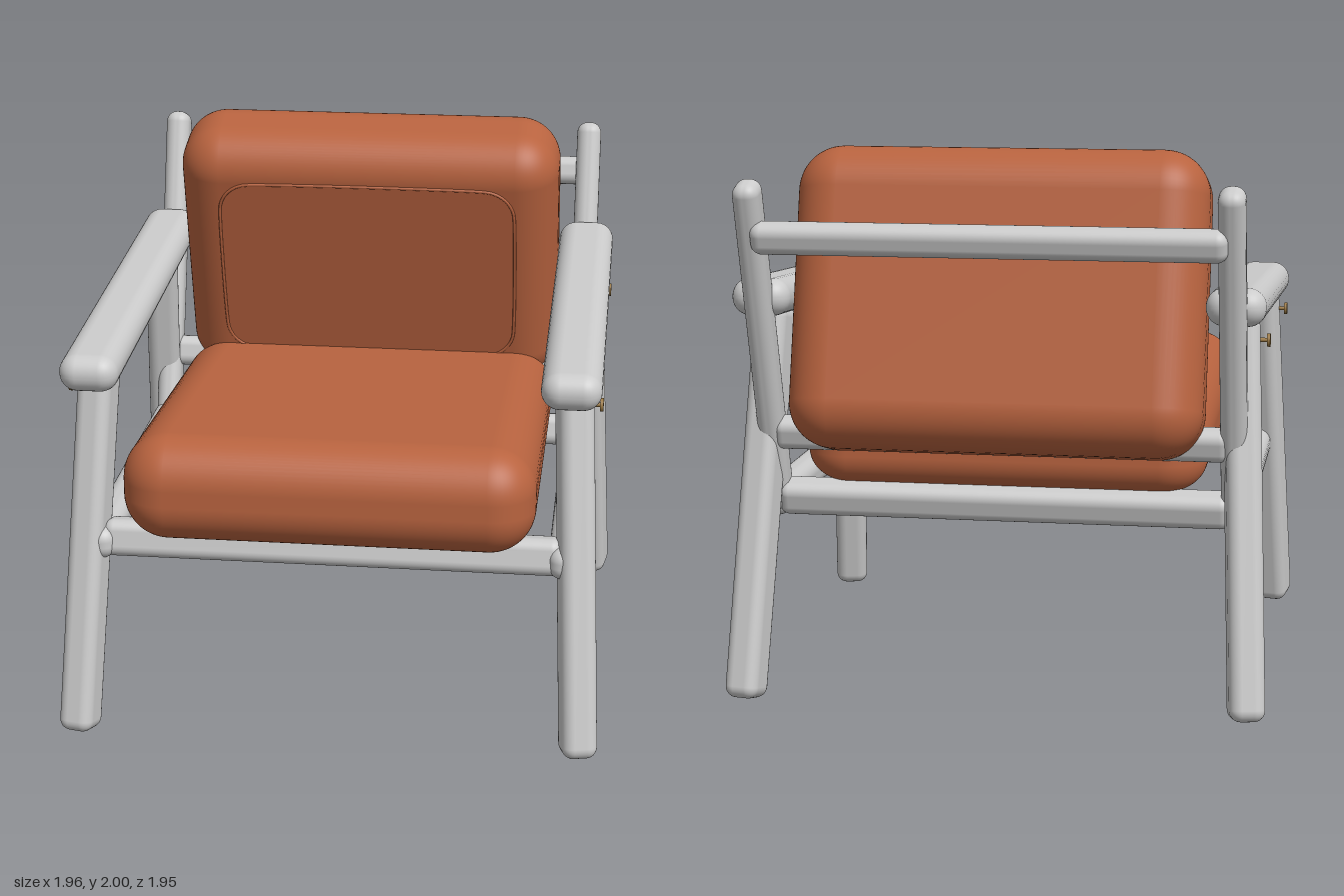
import * as THREE from 'three';
import { RoundedBoxGeometry } from 'three/addons/geometries/RoundedBoxGeometry.js';

const frameMat = new THREE.MeshStandardMaterial({ color: 0xcccccc });
const leather = new THREE.MeshStandardMaterial({ color: 0xb8633f });
const brass = new THREE.MeshStandardMaterial({ color: 0x9c7a45 });

// Rounded bar from a to b: w across its level side, d across the other
function beam(name, a, b, w, d, r) {
  const A = new THREE.Vector3(...a), B = new THREE.Vector3(...b);
  const y = B.clone().sub(A), len = y.length();
  y.normalize();
  const x = new THREE.Vector3(-y.z, 0, y.x).normalize();
  const z = x.clone().cross(y);
  const mesh = new THREE.Mesh(new RoundedBoxGeometry(w, len, d, 4, r), frameMat);
  mesh.quaternion.setFromRotationMatrix(new THREE.Matrix4().makeBasis(x, y, z));
  mesh.position.copy(A.add(B).multiplyScalar(0.5));
  mesh.name = name;
  return mesh;
}

// Rounded rail lying along x, tilted about it
function crossRail(name, y, z, h, d, tilt) {
  const mesh = new THREE.Mesh(new RoundedBoxGeometry(1.66, h, d, 4, 0.04), frameMat);
  mesh.position.set(0, y, z);
  mesh.rotation.x = tilt;
  mesh.name = name;
  return mesh;
}

// Closed outline of a rounded rectangle in the xy plane
function roundedOutline(w, h, r) {
  const points = [];
  for (let corner = 0; corner < 4; corner++) {
    const cx = (corner === 0 || corner === 3 ? 1 : -1) * (w / 2 - r);
    const cy = (corner < 2 ? 1 : -1) * (h / 2 - r);
    for (let i = 0; i <= 6; i++) {
      const t = (corner + i / 6) * Math.PI / 2;
      points.push(new THREE.Vector3(cx + r * Math.cos(t), cy + r * Math.sin(t), 0));
    }
  }
  return new THREE.CatmullRomCurve3(points, true);
}

export function createModel() {
  const chair = new THREE.Group();
  chair.name = 'armchair';

  // Side frames, left and right
  for (const [side, s] of [['left', 1], ['right', -1]]) {
    const g = new THREE.Group();
    g.name = side + 'SideFrame';
    g.add(
      beam('frontLeg', [s * 0.91, 0.01, 0.907], [s * 0.85, 1.35, 0.627], 0.128, 0.145, 0.042),
      beam('rearLeg', [s * 0.91, 0.01, -0.828], [s * 0.85, 1.41, -0.525], 0.128, 0.145, 0.042),
      beam('armrest', [s * 0.846, 1.36, 0.883], [s * 0.846, 1.475, -0.793], 0.212, 0.135, 0.066),
      beam('backPost', [s * 0.84, 0.645, -0.535], [s * 0.84, 1.9, -0.932], 0.095, 0.12, 0.042),
      beam('sideRail', [s * 0.838, 0.703, 0.825], [s * 0.838, 0.712, -0.62], 0.115, 0.12, 0.05)
    );
    // Bolts at the tops of the legs: a flat head on a thin pin
    for (const [y, z] of [[1.265, 0.667], [1.325, -0.52]]) {
      const bolt = new THREE.Group();
      bolt.name = 'bolt';
      for (const [part, r, len, x] of [['boltHead', 0.024, 0.012, 0.949], ['boltPin', 0.008, 0.05, 0.92]]) {
        const mesh = new THREE.Mesh(new THREE.CylinderGeometry(r, r, len, 20), brass);
        mesh.rotation.z = Math.PI / 2;
        mesh.position.x = s * x;
        mesh.name = part;
        bolt.add(mesh);
      }
      bolt.position.set(0, y, z);
      g.add(bolt);
    }
    chair.add(g);
  }

  // Rails joining the two sides
  chair.add(
    crossRail('frontRail', 0.712, 0.74, 0.135, 0.12, -0.2),
    crossRail('rearRail', 0.712, -0.57, 0.125, 0.12, -0.29),
    crossRail('lowerBackRail', 0.965, -0.645, 0.12, 0.1, -0.29),
    crossRail('upperBackRail', 1.705, -0.915, 0.112, 0.1, -0.29)
  );

  // Seat cushion, thinner towards the back
  const seatGeo = new RoundedBoxGeometry(1.47, 0.39, 1.62, 8, 0.165);
  seatGeo.translate(0, 0.195, 0.157);
  const p = seatGeo.attributes.position;
  for (let i = 0; i < p.count; i++) {
    const t = THREE.MathUtils.clamp((0.8 - p.getZ(i)) / 1.25, 0, 1.1);
    p.setY(i, 0.755 + p.getY(i) * (1 - 0.23 * t));
  }
  const seat = new THREE.Mesh(seatGeo, leather);
  seat.name = 'seatCushion';
  chair.add(seat);

  // Back cushion with piping around its front face
  const back = new THREE.Group();
  back.name = 'backCushion';
  const pad = new THREE.Mesh(new RoundedBoxGeometry(1.48, 1.09, 0.425, 8, 0.165), leather);
  pad.name = 'backPad';
  const piping = new THREE.Mesh(
    new THREE.TubeGeometry(roundedOutline(1.15, 0.755, 0.12), 160, 0.006, 8, true),
    leather
  );
  piping.position.z = 0.2135;
  piping.name = 'backPiping';
  back.add(pad, piping);
  back.position.set(0, 1.454, -0.614);
  back.rotation.x = 0.267;
  chair.add(back);

  return chair;
}
